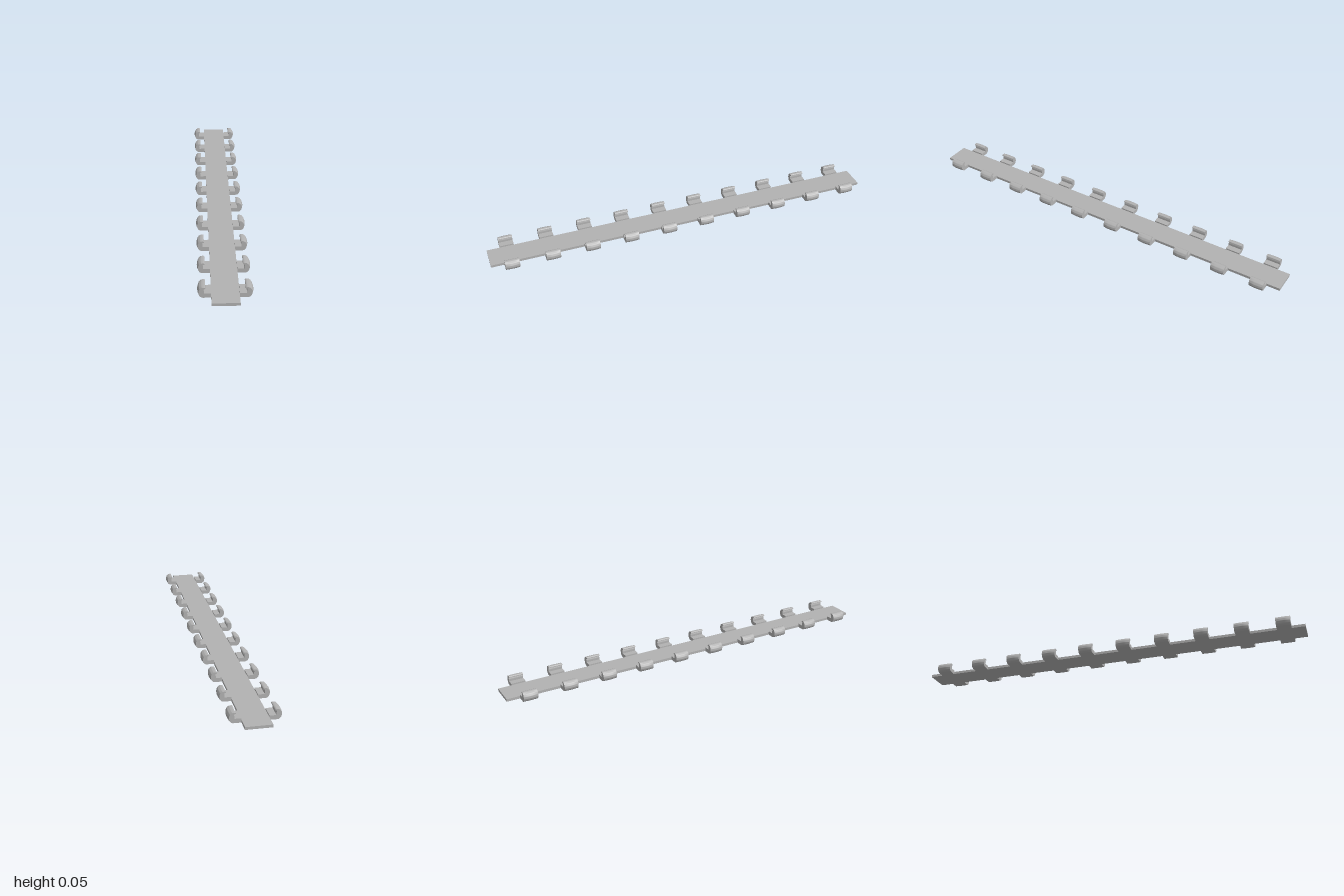
import * as THREE from 'three';
import { toCreasedNormals } from 'three/addons/utils/BufferGeometryUtils.js';

const HALF_WIDTH = 0.035;   // half the hook's length along the strip

// C-shaped clip with a foot, extruded along z and crowned on its outer side
function hookGeometry() {
  const s = new THREE.Shape();
  s.moveTo(0.06, 0);
  s.lineTo(0.094, 0);
  s.absarc(0.094, 0.024, 0.024, -Math.PI / 2, Math.PI / 2, false);
  s.lineTo(0.088, 0.048);
  s.quadraticCurveTo(0.083, 0.047, 0.084, 0.042);
  s.quadraticCurveTo(0.092, 0.042, 0.092, 0.036);
  s.quadraticCurveTo(0.09, 0.034, 0.09, 0.03);
  s.lineTo(0.09, 0.02);
  s.lineTo(0.06, 0.02);
  s.closePath();
  const geo = new THREE.ExtrudeGeometry(s, {
    depth: HALF_WIDTH * 2, steps: 8, curveSegments: 14, bevelEnabled: false,
  });
  geo.translate(0, 0, -HALF_WIDTH);
  const p = geo.attributes.position;
  for (let i = 0; i < p.count; i++) {
    const over = p.getX(i) - 0.094;
    const t = p.getZ(i) / HALF_WIDTH;
    if (over > 0) p.setX(i, 0.094 + over * (1 - 0.2 * t * t));
  }
  return toCreasedNormals(geo, 0.6);
}

export function createModel() {
  const model = new THREE.Group();
  model.name = 'clipStrip';
  const grey = new THREE.MeshStandardMaterial({ color: 0xb2b2b2 });
  grey.name = 'grey';

  // Long flat base
  const strip = new THREE.Mesh(new THREE.BoxGeometry(0.12, 0.013, 2), grey);
  strip.name = 'baseStrip';
  strip.position.y = 0.0065;
  model.add(strip);

  // Ten pairs of clips along both edges
  const geo = hookGeometry();
  for (let i = 0; i < 10; i++) {
    for (const side of [1, -1]) {
      const hook = new THREE.Mesh(geo, grey);
      hook.name = (side > 0 ? 'leftHook' : 'rightHook') + (i + 1);
      hook.position.z = -0.9 + i * 0.2;
      if (side < 0) hook.rotation.y = Math.PI;
      model.add(hook);
    }
  }
  return model;
}
